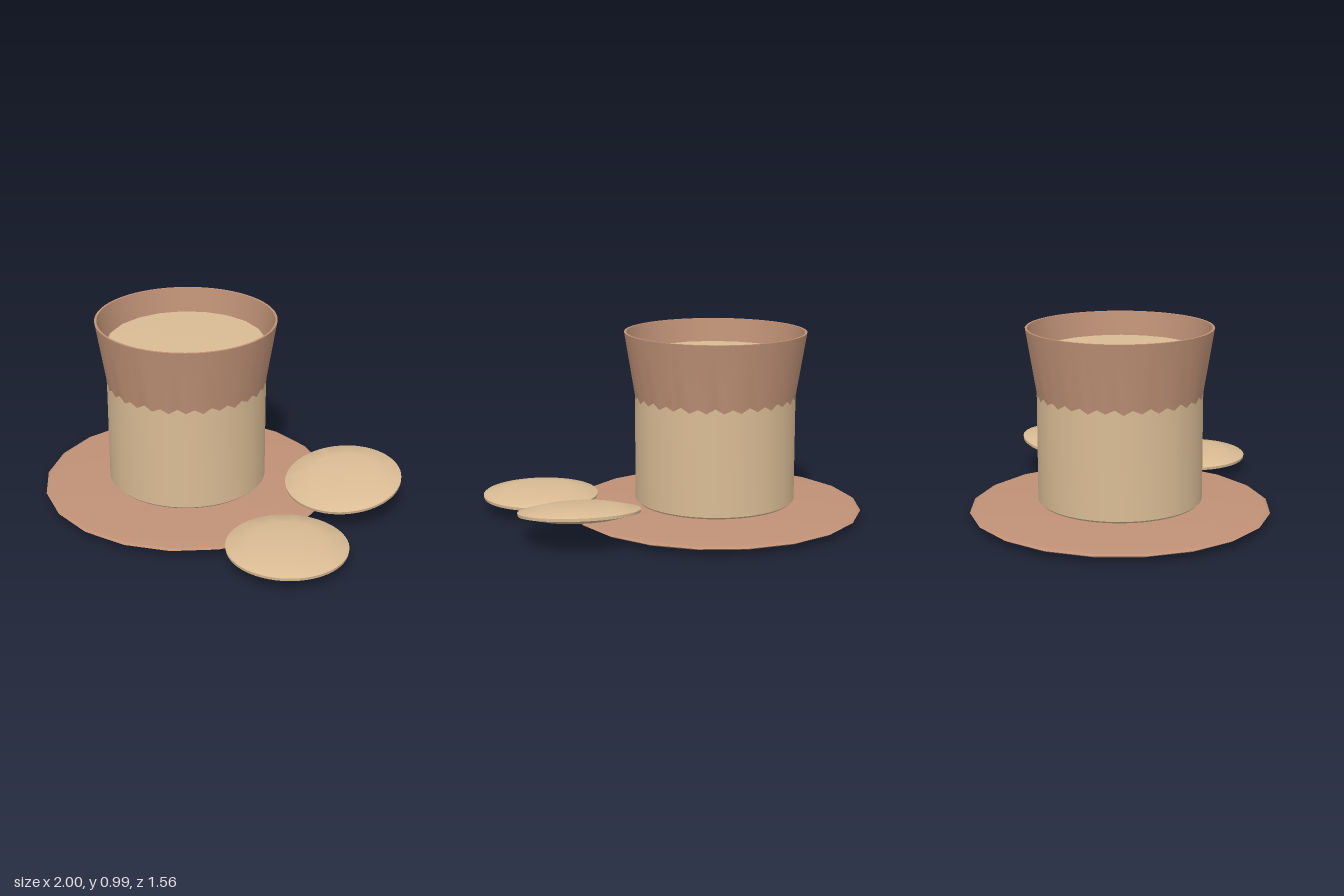
import * as THREE from 'three';
import { toCreasedNormals } from 'three/addons/utils/BufferGeometryUtils.js';

export function createModel() {
  const model = new THREE.Group();
  const tan = new THREE.MeshStandardMaterial({ color: 0xd9bb94 });
  tan.name = 'tan';
  const brown = new THREE.MeshStandardMaterial({ color: 0xbf9176 });
  brown.name = 'terracotta brown';

  const add = (name, geometry, material, parent = model) => {
    const mesh = new THREE.Mesh(geometry, material);
    mesh.name = name;
    parent.add(mesh);
    return mesh;
  };
  const lathe = (profile, sides, crease = 0.4) => toCreasedNormals(
    new THREE.LatheGeometry(profile.map(([r, y]) => new THREE.Vector2(r, y)), sides), crease);

  // Saucer: a shallow lens with twenty sides
  const saucer = add('saucer', lathe([
    [0, 0], [0.3, 0.005], [0.7, 0.022], [0.765, 0.033], [0.78, 0.042],
    [0.765, 0.05], [0.7, 0.056], [0.28, 0.077], [0, 0.077],
  ], 20), brown);
  saucer.position.x = -0.22;

  const cup = new THREE.Group();
  cup.name = 'cup';
  cup.position.x = -0.22;
  model.add(cup);

  // Ragged glaze line shared by the body and the collar
  const sides = 60;
  const glazeLine = (i) => {
    const k = i % sides;
    return 0.645 + (k % 2 ? -1 : 1) * (0.007 + 0.007 * Math.abs(Math.sin(k * 2.3)));
  };

  // Smooth open wall; rows are [radius, y], where a null y follows the glaze line
  const wall = (rows) => {
    const geometry = new THREE.LatheGeometry(
      rows.map(([r, y]) => new THREE.Vector2(r, y ?? 0.645)), sides);
    const pos = geometry.attributes.position;
    for (let i = 0; i < pos.count; i++) {
      if (rows[i % rows.length][1] === null) pos.setY(i, glazeLine(Math.floor(i / rows.length)));
    }
    return toCreasedNormals(geometry, 0.5);
  };

  add('cupBody', wall([[0, 0.08], [0.38, 0.082], [0.415, 0.085], [0.425, 0.095], [0.425, null]]), tan, cup);
  add('glazedCollar', wall([[0.425, null], [0.427, 0.665], [0.48, 0.99]]), brown, cup);
  add('rimAndInside', wall([[0.48, 0.99], [0.468, 0.99], [0.417, 0.66], [0, 0.66]]), brown, cup);

  // Drink filling the cup
  const drink = add('drink', lathe([[0.42, 0.76], [0.425, 0.86], [0.415, 0.87], [0, 0.872]], 20), tan, cup);
  drink.rotation.y = Math.PI / 20;

  // Two round biscuits, one lying flat and one leaning
  const biscuit = lathe([
    [0, -0.037], [0.19, -0.036], [0.308, -0.009], [0.31, 0.006],
    [0.305, 0.01], [0.18, 0.037], [0, 0.038],
  ], 64, 0.5);
  add('flatBiscuit', biscuit, tan).position.set(0.69, 0.081, 0.26);
  const leaning = add('leaningBiscuit', biscuit, tan);
  leaning.position.set(0.555, 0.158, -0.385);
  leaning.rotation.x = 0.155;

  return model;
}
